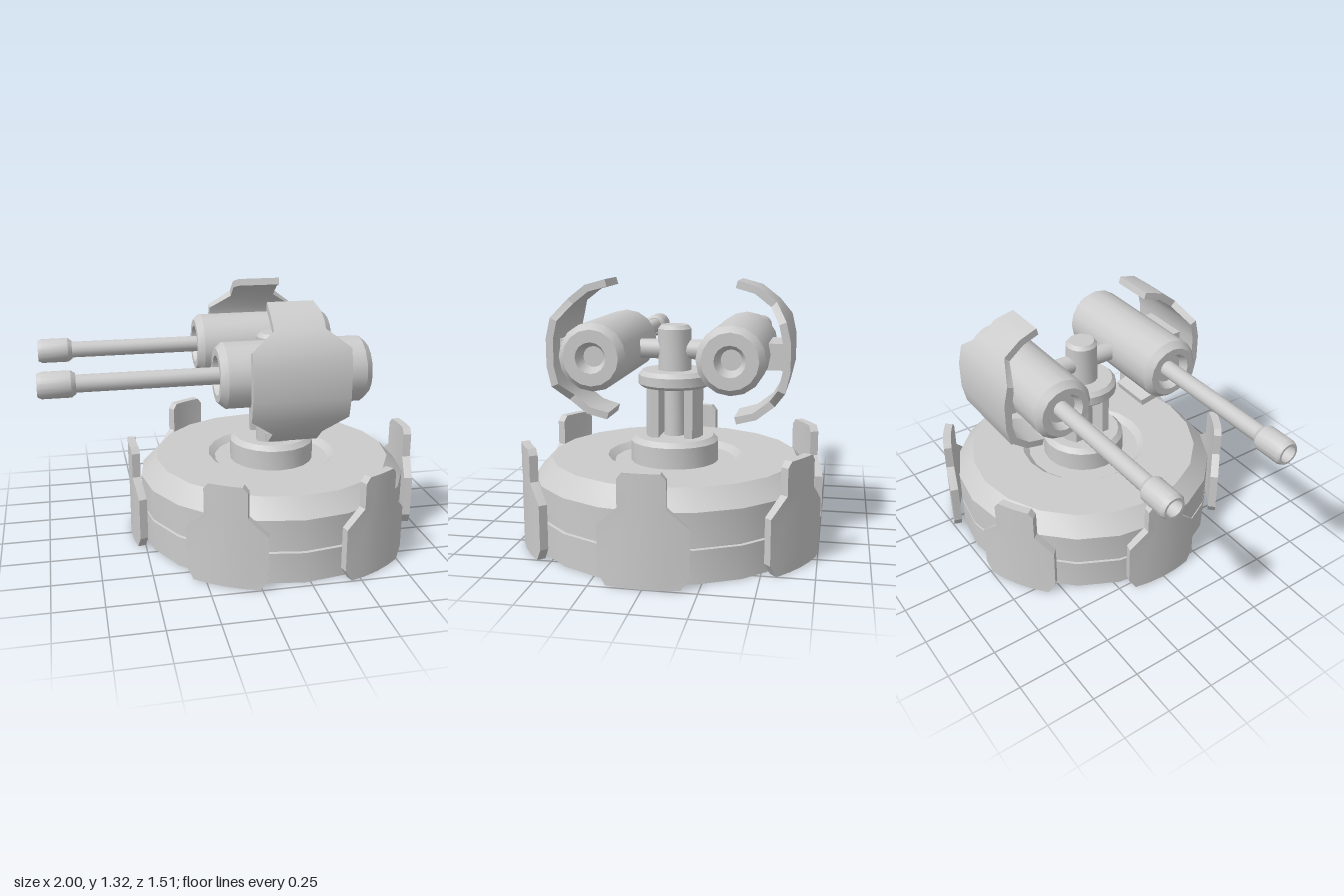
import * as THREE from 'three';
import { toCreasedNormals } from 'three/addons/utils/BufferGeometryUtils.js';

const CX = 0.22; // turret axis
const GUN_Y = 0.965, GUN_Z = 0.33;
const grey = new THREE.MeshStandardMaterial({ color: 0xcccccc });

function add(parent, name, geometry) {
  const mesh = new THREE.Mesh(toCreasedNormals(geometry, 0.48), grey);
  mesh.name = name;
  parent.add(mesh);
  return mesh;
}

// Turned part: [radius, height] pairs from bottom to top
function turned(profile, sides) {
  return new THREE.LatheGeometry(profile.map(p => new THREE.Vector2(...p)), sides);
}

// Closed slab: rows go up, columns go right, depth 1 is the outer skin and 0 the inner
function slab(rows, cols, place) {
  const pos = [], index = [];
  for (let d = 0; d < 2; d++)
    for (let r = 0; r < rows; r++)
      for (let c = 0; c <= cols; c++) pos.push(...place(c / cols * 2 - 1, r, d));
  const id = (d, r, c) => (d * rows + r) * (cols + 1) + c;
  const quad = (a, b, c, d) => index.push(a, b, c, a, c, d);
  const top = rows - 1;
  for (let r = 0; r < top; r++) {
    for (let c = 0; c < cols; c++) {
      quad(id(1, r, c), id(1, r, c + 1), id(1, r + 1, c + 1), id(1, r + 1, c));
      quad(id(0, r, c), id(0, r + 1, c), id(0, r + 1, c + 1), id(0, r, c + 1));
    }
    quad(id(1, r, 0), id(1, r + 1, 0), id(0, r + 1, 0), id(0, r, 0));
    quad(id(1, r, cols), id(0, r, cols), id(0, r + 1, cols), id(1, r + 1, cols));
  }
  for (let c = 0; c < cols; c++) {
    quad(id(1, 0, c), id(0, 0, c), id(0, 0, c + 1), id(1, 0, c + 1));
    quad(id(1, top, c), id(1, top, c + 1), id(0, top, c + 1), id(0, top, c));
  }
  const g = new THREE.BufferGeometry();
  g.setAttribute('position', new THREE.Float32BufferAttribute(pos, 3));
  g.setIndex(index);
  return g;
}

// Curved armour plate standing around the base
function basePlateGeometry() {
  const rows = [[0, 0.17], [0.06, 0.21], [0.28, 0.21], [0.37, 0.11], [0.5, 0.11], [0.53, 0.085]]; // height, half width
  return slab(rows.length, 4, (u, r, d) => {
    const [y, w] = rows[r], radius = d ? 0.78 : 0.737, a = u * w / 0.77;
    return [Math.sin(a) * radius, y, Math.cos(a) * radius];
  });
}

// Bent shield beside a gun
function shieldGeometry() {
  const half = [[0.598, 0.07, 0.24], [0.575, 0.17, 0.24], [0.52, 0.255, 0.125],
    [0.43, 0.325, 0.125], [0.33, 0.353, 0.115]]; // z, height from gun axis, half width
  const rows = [...half.map(([z, y, w]) => [z, -y, w]).reverse(), ...half];
  return slab(rows.length, 1, (u, r, d) => {
    const [z, y, w] = rows[r];
    const a = rows[Math.max(r - 1, 0)], b = rows[Math.min(r + 1, rows.length - 1)];
    const dz = b[0] - a[0], dy = b[1] - a[1], t = d ? 0 : 0.037 / Math.hypot(dz, dy);
    return [u * w, GUN_Y + y + dz * t, z - dy * t];
  });
}

export function createModel() {
  const model = new THREE.Group();
  model.name = 'twinGunTurret';
  const turret = new THREE.Group();
  turret.name = 'turret';
  turret.position.x = CX;
  model.add(turret);

  // Round base with a groove and a recessed ring on top
  add(turret, 'base', turned([[0, 0], [0.715, 0], [0.715, 0.16], [0.7, 0.163], [0.7, 0.171], [0.715, 0.174],
    [0.715, 0.335], [0.63, 0.425], [0.345, 0.425], [0.31, 0.395], [0, 0.395]], 20));

  const plate = basePlateGeometry();
  for (let i = 0; i < 6; i++)
    add(turret, 'basePlate', plate).rotation.y = Math.PI / 2 + i * Math.PI / 3;

  // Pedestal, column and collar
  add(turret, 'pedestal', turned([[0, 0.39], [0.225, 0.39], [0.225, 0.5], [0.2, 0.525], [0, 0.525]], 20));
  add(turret, 'column', turned([[0, 0.5], [0.055, 0.5], [0.055, 0.8], [0, 0.8]], 16));
  const rib = new THREE.Shape();
  rib.moveTo(-0.1, 0.065);
  rib.lineTo(0.1, 0.065);
  for (let i = -2; i <= 2; i++) {
    const a = i * 0.374;
    rib.lineTo(0.147 * Math.sin(-a), 0.147 * Math.cos(a));
  }
  const ribGeometry = new THREE.ExtrudeGeometry(rib, { depth: 0.3, bevelEnabled: false });
  ribGeometry.rotateX(-Math.PI / 2).translate(0, 0.5, 0);
  for (const turn of [0, Math.PI]) add(turret, 'columnRib', ribGeometry).rotation.y = turn;
  add(turret, 'collar', turned([[0, 0.78], [0.17, 0.78], [0.185, 0.795], [0.185, 0.84], [0.165, 0.862], [0, 0.862]], 20));
  add(turret, 'head', turned([[0, 0.85], [0.085, 0.85], [0.085, 1.07], [0.068, 1.09], [0, 1.09]], 16));
  const bar = new THREE.CylinderGeometry(0.05, 0.05, 0.44, 16);
  bar.rotateX(Math.PI / 2).translate(0, GUN_Y, 0);
  add(turret, 'crossbar', bar);

  // Guns: profiles run from the rear (+x) to the muzzle (-x)
  const body = turned([[0, -0.55], [0.05, -0.55], [0.075, -0.61], [0.135, -0.61], [0.165, -0.575],
    [0.165, 0.11], [0.135, 0.145], [0.1, 0.145], [0.08, 0.1], [0, 0.1]], 16);
  const barrel = turned([[0, 0.08], [0.043, 0.08], [0.043, 0.86], [0, 0.86]], 16);
  const muzzle = turned([[0.04, 0.82], [0.05, 0.82], [0.065, 0.842], [0.065, 0.98], [0.055, 1],
    [0.043, 1], [0.038, 0.9], [0, 0.9]], 16);
  const shield = shieldGeometry();
  const mount = new THREE.BoxGeometry(0.26, 0.13, 0.12);
  for (const side of [1, -1]) {
    const gun = new THREE.Group();
    gun.name = side > 0 ? 'leftGun' : 'rightGun';
    gun.position.set(0, GUN_Y, side * GUN_Z);
    gun.rotation.z = Math.PI / 2;
    add(gun, 'gunBody', body);
    add(gun, 'barrel', barrel);
    add(gun, 'muzzle', muzzle);
    model.add(gun);

    const guard = new THREE.Group();
    guard.name = side > 0 ? 'leftShield' : 'rightShield';
    guard.rotation.y = side > 0 ? 0 : Math.PI;
    add(guard, 'shield', shield);
    add(guard, 'shieldMount', mount).position.set(0, GUN_Y - 0.01, 0.51);
    turret.add(guard);
  }
  return model;
}
